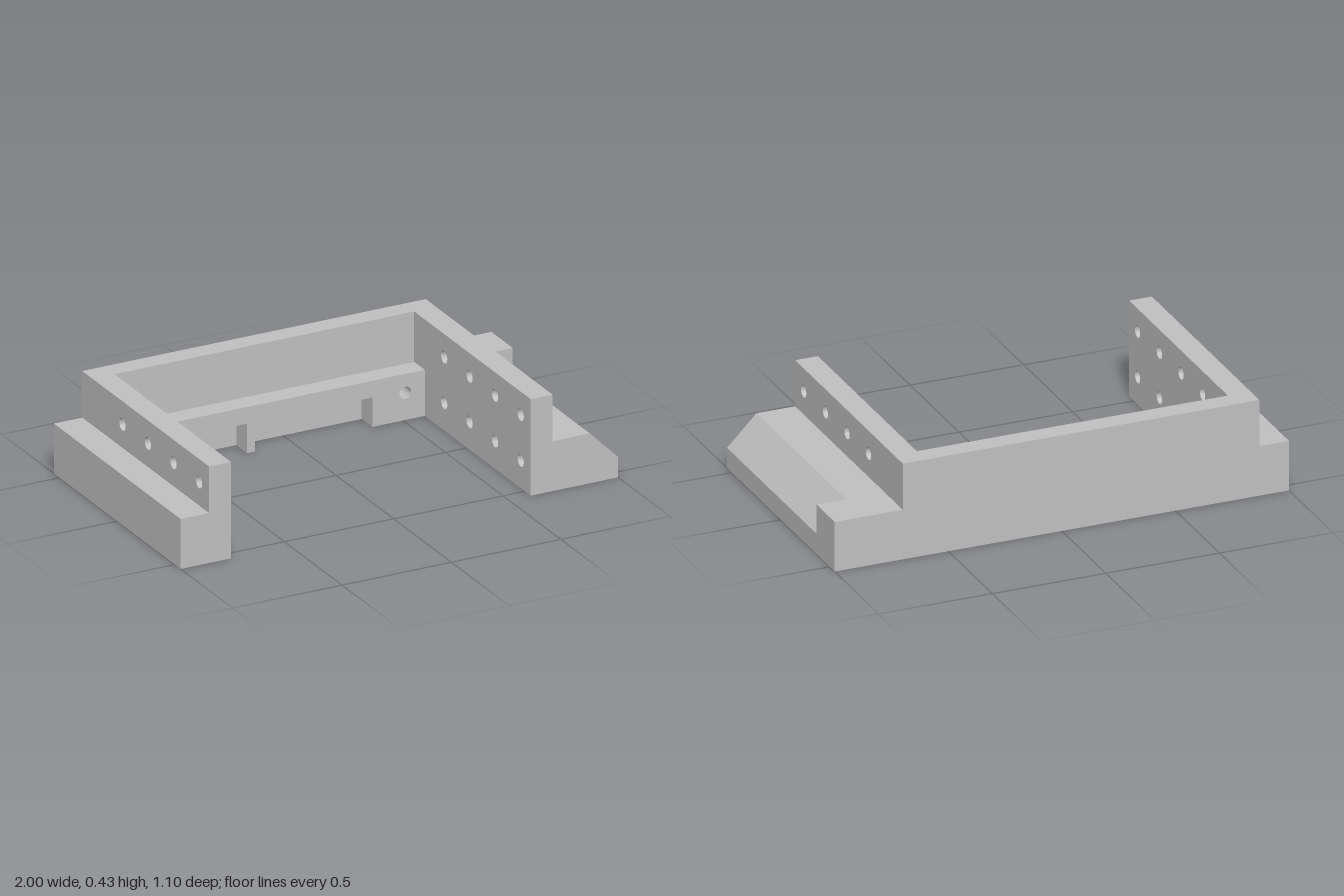
import * as THREE from 'three';

const HOLE_R = 0.027;
const BACK = -0.55, FRONT = 0.55, HEIGHT = 0.425, STEP = 0.22;

const shapeFrom = (pts) => new THREE.Shape(pts.map(([x, y]) => new THREE.Vector2(x, y)));

function addHole(shape, x, y) {
  const hole = new THREE.Path();
  hole.absarc(x, y, HOLE_R, 0, Math.PI * 2, true);
  shape.holes.push(hole);
}

const extrude = (shape, depth) =>
  new THREE.ExtrudeGeometry(shape, { depth, bevelEnabled: false, curveSegments: 16 });

export function createModel() {
  const group = new THREE.Group();
  const grey = new THREE.MeshStandardMaterial({ color: 0xc0c0c0 });
  grey.name = 'plain grey';

  const add = (name, geometry) => {
    const mesh = new THREE.Mesh(geometry, grey);
    mesh.name = name;
    group.add(mesh);
  };

  // Box given by its lower and upper limits
  const box = (name, x0, x1, y0, y1, z0, z1) => add(name,
    new THREE.BoxGeometry(x1 - x0, y1 - y0, z1 - z0)
      .translate((x0 + x1) / 2, (y0 + y1) / 2, (z0 + z1) / 2));

  // Drilled side plates: the upper holes pass through, the lower ones end at the step
  const sidePlate = (name, xMax) => {
    const shape = shapeFrom([[BACK, 0], [FRONT, 0], [FRONT, HEIGHT], [BACK, HEIGHT]]);
    for (const z of [0.463, 0.241, 0.02, -0.2])
      for (const y of [0.122, 0.323]) addHole(shape, z, y);
    add(name, extrude(shape, 0.1).rotateY(-Math.PI / 2).translate(xMax, 0, 0));
  };
  sidePlate('rightSidePlate', -0.77);
  sidePlate('leftSidePlate', 0.7);

  // Low outer steps; the wide one is chamfered up to a stop near the back
  box('rightStep', -1, -0.87, 0, STEP, BACK, FRONT);
  box('leftStepEnd', 0.7, 1, 0, STEP, BACK, -0.365);
  const chamfered = shapeFrom([[0.7, 0], [1, 0], [1, 0.09], [0.87, STEP], [0.7, STEP]]);
  add('leftChamferedStep', extrude(chamfered, FRONT + 0.365).translate(0, 0, -0.365));

  // Back wall
  box('backWall', -0.77, 0.6, 0, HEIGHT, BACK, -0.46);

  // Ledge with a rib between two pockets and a drilled solid end
  const ledge = shapeFrom([
    [-0.77, 0.203], [-0.77, 0.13], [-0.213, 0.13], [-0.213, 0], [-0.177, 0],
    [-0.177, 0.13], [0.36, 0.13], [0.36, 0], [0.6, 0], [0.6, 0.203],
  ]);
  addHole(ledge, 0.511, 0.12);
  add('backLedge', extrude(ledge, 0.092).translate(0, 0, -0.46));

  return group;
}
